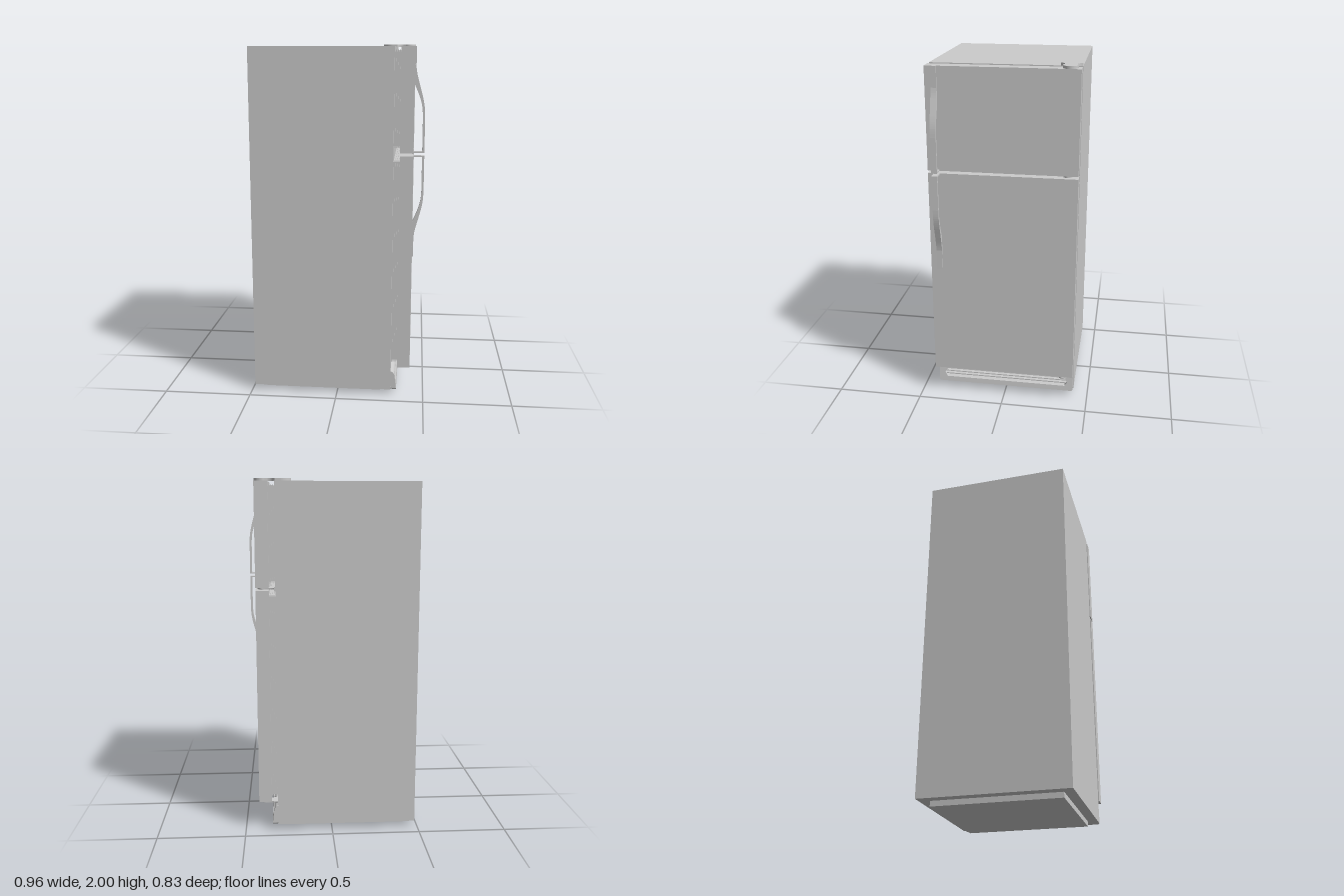
import * as THREE from 'three';

const mat = new THREE.MeshStandardMaterial({ color: 0xcccccc, side: THREE.DoubleSide });
const V = (x, y) => new THREE.Vector2(x, y);

export function createModel() {
  const root = new THREE.Group();
  const add = (name, geo, parent = root) => {
    const m = new THREE.Mesh(geo, mat);
    m.name = name;
    parent.add(m);
    return m;
  };
  // box given by its limits on each axis
  const box = (name, x0, x1, y0, y1, z0, z1, parent) =>
    add(name, new THREE.BoxGeometry(x1 - x0, y1 - y0, z1 - z0), parent)
      .position.set((x0 + x1) / 2, (y0 + y1) / 2, (z0 + z1) / 2);
  const extrude = (shape, depth, segs = 12) =>
    new THREE.ExtrudeGeometry(shape, { depth, bevelEnabled: false, curveSegments: segs });

  // cabinet and plinth
  box('cabinet', -0.485, 0.312, 0.03, 1.985, -0.415, 0.415);
  box('base', -0.425, 0.25, 0, 0.032, -0.355, 0.358);

  // doors with ribbed seals behind them
  const doors = [
    ['freezerDoor', 1.412, 1.985, 1.44, 1.965],
    ['fridgeDoor', 0.17, 1.397, 0.195, 1.37],
  ];
  for (const [name, y0, y1, s0, s1] of doors) {
    const door = new THREE.Group();
    door.name = name;
    root.add(door);
    box('panel', 0.348, 0.421, y0, y1, -0.415, 0.415, door);
    box('sealCore', 0.31, 0.35, s0 + 0.008, s1 - 0.008, -0.382, 0.382, door);
    for (const x of [0.317, 0.328, 0.339])
      box('sealRib', x, x + 0.005, s0, s1, -0.392, 0.392, door);
  }

  // handles: one side profile, mirrored for the lower door
  const middle = 1.4045;
  const handleShape = (flip) => {
    const p = (x, y) => V(x, flip ? 2 * middle - y : y);
    const outer = new THREE.SplineCurve([p(0.429, 1.87), p(0.436, 1.83), p(0.452, 1.77),
      p(0.468, 1.71), p(0.477, 1.66), p(0.48, 1.61)]).getPoints(20);
    const inner = new THREE.SplineCurve([p(0.468, 1.61), p(0.464, 1.66), p(0.453, 1.705),
      p(0.436, 1.75), p(0.42, 1.785)]).getPoints(20);
    return new THREE.Shape([p(0.42, 1.985), p(0.428, 1.985), ...outer, p(0.48, 1.412),
      p(0.42, 1.412), p(0.42, 1.42), p(0.468, 1.42), ...inner]);
  };
  for (const flip of [false, true])
    add(flip ? 'fridgeHandle' : 'freezerHandle', extrude(handleShape(flip), 0.032)).position.z = 0.348;

  // top hinge cover: two discs joined by a narrow waist
  const cover = new THREE.Shape();
  cover.moveTo(0.308, 0.058);
  cover.lineTo(0.278, 0.058);
  cover.absarc(0.278, 0, 0.058, Math.PI / 2, Math.PI * 1.5, false);
  cover.lineTo(0.308, -0.058);
  cover.quadraticCurveTo(0.32, -0.033, 0.345, -0.033);
  cover.quadraticCurveTo(0.358, -0.035, 0.364, -0.037);
  cover.absarc(0.381, 0, 0.041, -1.99, 1.99, false);
  cover.quadraticCurveTo(0.355, 0.035, 0.345, 0.033);
  cover.quadraticCurveTo(0.32, 0.033, 0.308, 0.058);
  const coverGeo = extrude(cover, 0.015, 24).rotateX(-Math.PI / 2);
  add('topHinge', coverGeo).position.set(0, 1.985, -0.355);

  // middle and bottom hinges: bracket, arm and pin
  for (const [name, y, pin0, pin1] of [['middleHinge', 1.4045, 1.395, 1.414], ['bottomHinge', 0.155, 0.15, 0.172]]) {
    const hinge = new THREE.Group();
    hinge.name = name;
    root.add(hinge);
    box('bracket', 0.31, 0.318, y - 0.012, y + 0.012, -0.4, -0.31, hinge);
    const arm = new THREE.Shape();
    arm.moveTo(0.312, -0.045);
    arm.quadraticCurveTo(0.33, -0.022, 0.385, -0.025);
    arm.absarc(0.385, 0, 0.025, -Math.PI / 2, Math.PI / 2, false);
    arm.quadraticCurveTo(0.33, 0.022, 0.312, 0.045);
    add('arm', extrude(arm, 0.008).rotateX(-Math.PI / 2), hinge).position.set(0, y - 0.004, -0.355);
    add('pin', new THREE.CylinderGeometry(0.014, 0.014, pin1 - pin0, 20), hinge)
      .position.set(0.385, (pin0 + pin1) / 2, -0.355);
  }

  // kick plate: leaning panel with a long vent, shaped in z and y
  const kick = new THREE.Group();
  kick.name = 'kickPlate';
  root.add(kick);
  const panel = new THREE.Shape();
  panel.moveTo(-0.412, 0.118);
  panel.lineTo(-0.412, 0.042);
  panel.quadraticCurveTo(-0.412, 0.03, -0.4, 0.03);
  panel.lineTo(0.4, 0.03);
  panel.quadraticCurveTo(0.412, 0.03, 0.412, 0.042);
  panel.lineTo(0.412, 0.118);
  panel.holes.push(new THREE.Path([V(-0.378, 0.085), V(-0.362, 0.112), V(0.362, 0.112),
    V(0.378, 0.085), V(0.362, 0.06), V(-0.362, 0.06)]));
  const panelGeo = extrude(panel, 0.035).rotateY(Math.PI / 2);
  const pos = panelGeo.attributes.position;
  for (let i = 0; i < pos.count; i++)
    if (pos.getX(i) > 0.02) pos.setX(i, 0.035 - (pos.getY(i) - 0.03) * 0.11);
  panelGeo.computeVertexNormals();
  add('ventPanel', panelGeo, kick).position.x = 0.31;
  for (const y of [0.077, 0.095])
    box('ventSlat', 0.31, 0.333, y - 0.003, y + 0.003, -0.372, 0.372, kick);

  // curved upper lip of the kick plate
  const lip = new THREE.Shape();
  lip.moveTo(0.305, 0.118);
  lip.lineTo(0.3353, 0.118);
  lip.quadraticCurveTo(0.329, 0.138, 0.312, 0.142);
  lip.lineTo(0.305, 0.142);
  add('lip', extrude(lip, 0.824), kick).position.z = -0.412;

  return root;
}
